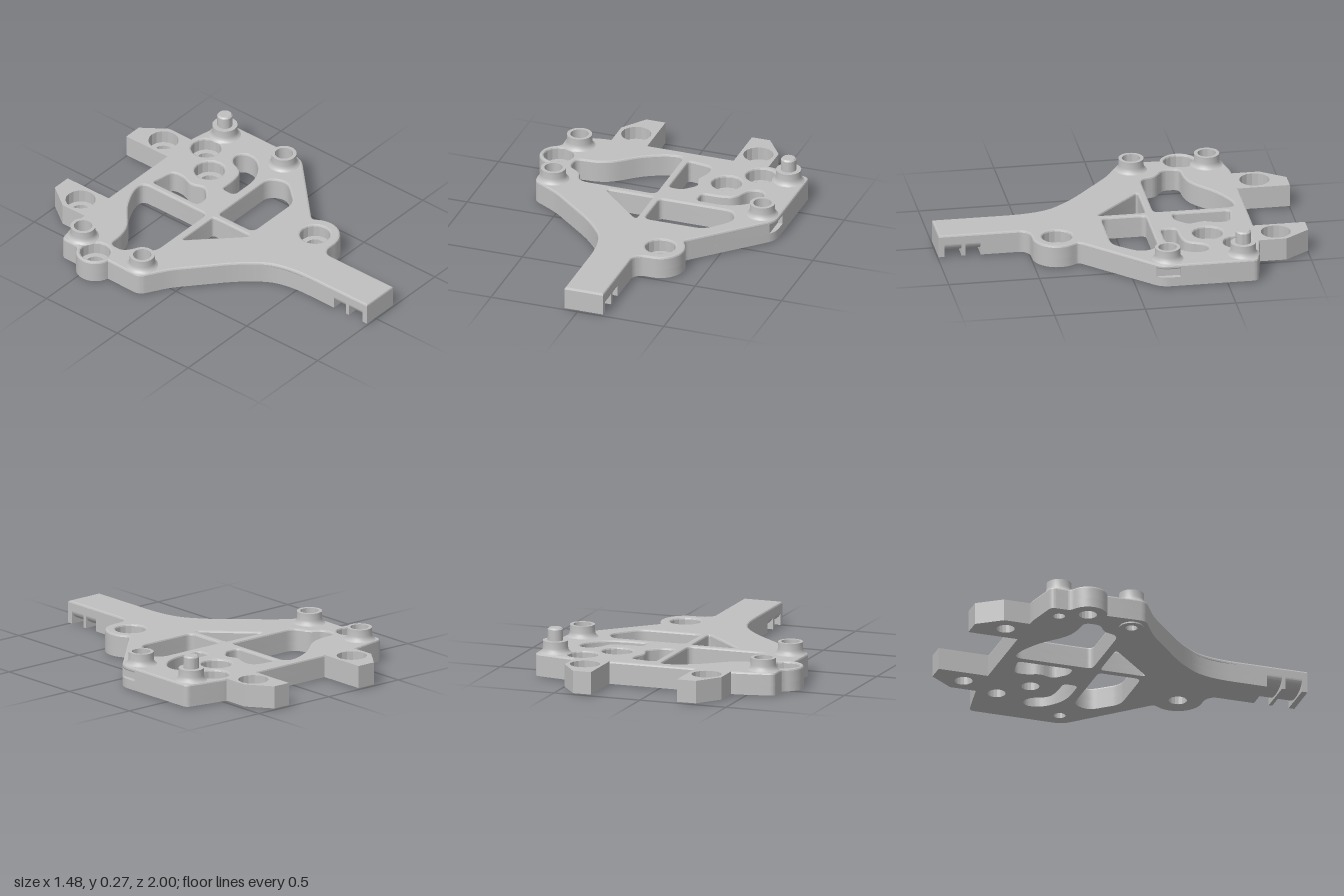
import * as THREE from 'three';
import { toCreasedNormals } from 'three/addons/utils/BufferGeometryUtils.js';

const grey = new THREE.MeshStandardMaterial({ color: 0xc0c0c0 });
grey.name = 'machined grey';

// Heights of the plate layers
const BOTTOM = 0.008, FLOOR = 0.06, SLOT_TOP = 0.115, TOP = 0.133, BEVEL = 0.01;

// Holes: [x, z]
const seats = [[0.337, -0.455], [0.482, -0.6], [0.249, 0.362], [-0.635, -0.457]];
const bosses = [[-0.567, -0.6], [-0.567, -0.183], [0.642, -0.183]];
const SEAT_R = 0.083, BOLT_R = 0.05, BOSS_R = 0.05, BORE_R = 0.033;

// Rounded polygon from [x, z, cornerRadius] points
function rounded(points, Type = THREE.Shape) {
  const path = new Type();
  const n = points.length;
  const v = points.map(([x, z]) => new THREE.Vector2(x, -z));
  points.forEach(([, , r = 0], i) => {
    const p = v[i], a = v[(i + n - 1) % n], b = v[(i + 1) % n];
    const toward = (q) => p.clone().lerp(q, Math.min(r / p.distanceTo(q), 0.48));
    const s = toward(a), e = toward(b);
    if (i === 0) path.moveTo(s.x, s.y); else path.lineTo(s.x, s.y);
    if (r > 0) path.quadraticCurveTo(p.x, p.y, e.x, e.y);
  });
  path.closePath();
  return path;
}

function arc(cx, cz, r, from, to, steps) {
  return Array.from({ length: steps + 1 }, (_, i) => {
    const a = THREE.MathUtils.degToRad(from + (to - from) * i / steps);
    return [cx + r * Math.cos(a), cz + r * Math.sin(a), 0];
  });
}

const circle = (x, z, r) => {
  const p = new THREE.Path();
  p.absarc(x, -z, r, 0, Math.PI * 2, false);
  return p;
};

// Plate outline; the slotted version has a recess in the side wall
function outline(tailEnd, slotted) {
  const side = slotted
    ? [[0.738, -0.24, 0], [0.71, -0.24, 0], [0.71, -0.107, 0]]
    : [[0.738, -0.135, 0.05]];
  return rounded([
    [-0.46, -0.717, 0.03], [0.49, -0.717, 0.03], [0.738, -0.67, 0.03],
    ...side,
    [0.348, 0.257, 0.03],
    ...arc(0.251, 0.362, 0.136, -34, 95, 14),
    [0.19, 0.499, 0.02], [0.148, 0.53, 0.03],
    [0.148, tailEnd, 0], [-0.076, tailEnd, 0],
    [-0.076, 0.4, 0.2], [-0.21, 0.22, 0.1],
    [-0.5, -0.035, 0.05], [-0.66, -0.13, 0.04],
    ...arc(-0.635, -0.457, 0.106, 101, 245, 14),
    [-0.66, -0.57, 0.015], [-0.66, -0.675, 0.03],
  ]);
}

// Windows, each listed clockwise from above
const windows = [
  [[0.015, -0.21, 0.035], [-0.43, -0.21, 0.06], [-0.455, -0.3, 0.03], [-0.53, -0.35, 0.03],
    [-0.53, -0.44, 0.04], [-0.41, -0.447, 0.04], [-0.33, -0.475, 0.06], [-0.2, -0.59, 0.06],
    [-0.07, -0.655, 0.06], [0.015, -0.66, 0.05]],
  [[0.055, -0.625, 0.03], [0.2, -0.6, 0.04], [0.2, -0.525, 0.03], [0.17, -0.455, 0.03],
    [0.2, -0.375, 0.03], [0.13, -0.305, 0.03], [0.055, -0.305, 0.03]],
  [[0.25, -0.295, 0.03], [0.36, -0.295, 0.05], [0.44, -0.315, 0.05], [0.475, -0.41, 0.04],
    [0.535, -0.435, 0.03], [0.58, -0.4, 0.03], [0.575, -0.32, 0.05], [0.5, -0.245, 0.05],
    [0.41, -0.21, 0.05], [0.25, -0.21, 0.03]],
  [[-0.255, -0.165, 0.03], [0.015, -0.165, 0.02], [0.015, 0.105, 0.035]],
  [[0.055, -0.16, 0.03], [0.48, -0.16, 0.05], [0.525, -0.06, 0.06],
    [0.4, 0.085, 0.05], [0.055, 0.085, 0.04]],
];

export function createModel() {
  const model = new THREE.Group();
  model.name = 'bracketPlate';

  function add(name, geometry, x = 0, y = 0, z = 0, crease = 0.35) {
    const mesh = new THREE.Mesh(toCreasedNormals(geometry, crease), grey);
    mesh.name = name;
    mesh.position.set(x, y, z);
    model.add(mesh);
  }

  // Flat slab between two heights, optionally with softened edges
  function slab(name, shape, y0, y1, bevel = 0) {
    const g = new THREE.ExtrudeGeometry(shape, {
      depth: y1 - y0 - 2 * bevel, curveSegments: 8, bevelEnabled: bevel > 0,
      bevelThickness: bevel, bevelSize: bevel, bevelOffset: -bevel, bevelSegments: 2,
    });
    g.translate(0, 0, bevel).rotateX(-Math.PI / 2);
    add(name, g, 0, y0, 0);
  }

  // Pierces a shape with windows, bolt seats and boss bores (all wound against the outline)
  function pierce(shape, seatR, boreR) {
    shape.holes.push(
      ...windows.map((w) => rounded([...w].reverse(), THREE.Path)),
      ...seats.map(([x, z]) => circle(x, z, seatR)),
      ...bosses.map(([x, z]) => circle(x, z, boreR)));
    return shape;
  }

  // Main plate in three layers
  slab('plateBottom', pierce(outline(0.765, false), BOLT_R, BORE_R), BOTTOM, FLOOR);
  slab('plateMiddle', pierce(outline(0.765, true), SEAT_R, BOSS_R), FLOOR, SLOT_TOP);
  slab('plateTop', pierce(outline(0.997, false), SEAT_R, BOSS_R), SLOT_TOP - BEVEL, TOP, BEVEL);

  // Rear arms with counterbored holes
  const arms = [
    [[-0.325, -1], [-0.215, -1], [-0.215, -0.7], [-0.422, -0.7], [-0.422, -0.865]],
    [[0.285, -1], [0.39, -1], [0.488, -0.865], [0.488, -0.7], [0.285, -0.7]],
  ];
  arms.forEach((points, i) => {
    const x = i ? 0.387 : -0.32;
    [[BOLT_R, BOTTOM, FLOOR], [SEAT_R, FLOOR, TOP]].forEach(([r, y0, y1]) => {
      const shape = rounded(points);
      shape.holes.push(circle(x, -0.822, r));
      slab('rearArm', shape, y0, y1);
    });
  });

  // Tail: roof, teeth and the curved core in the notches
  const tailX = 0.036, tailW = 0.224;
  add('tailRoof', new THREE.BoxGeometry(tailW, 0.04, 0.242), tailX, 0.1, 0.876);
  [[0.85, 0.87], [0.965, 0.997]].forEach(([z0, z1]) =>
    add('tailTooth', new THREE.BoxGeometry(tailW, 0.1 - BOTTOM, z1 - z0),
      tailX, (0.1 + BOTTOM) / 2, (z0 + z1) / 2));
  const core = new THREE.Shape();
  core.absellipse(0, 0, tailW / 2, 0.06, Math.PI, Math.PI * 2, false);
  add('tailCore', new THREE.ExtrudeGeometry(core,
    { depth: 0.21, bevelEnabled: false, curveSegments: 16 }), tailX, 0.081, 0.76, 0.5);

  // Raised bosses with flared feet
  const lathe = (pts) => new THREE.LatheGeometry(pts.map((p) => new THREE.Vector2(...p)), 32);
  const flare = [[0.09, 0.131], [0.079, 0.138], [0.072, 0.148], [0.069, 0.162], [0.069, 0.2]];
  bosses.forEach(([x, z]) =>
    add('boss', lathe([...flare, [BOSS_R, 0.2], [BOSS_R, 0.11]]), x, 0, z, 0.5));

  // Boss with locating pin
  add('pinBoss', lathe([...flare, [0.042, 0.2], [0.042, 0.262], [0.034, 0.27], [0, 0.27]]),
    0.642, 0, -0.6, 0.5);

  // Ring under one boss
  add('footRing', lathe([[BORE_R, 0.02], [BORE_R, 0], [0.066, 0], [0.066, 0.02]]),
    -0.567, 0, -0.183);

  return model;
}
